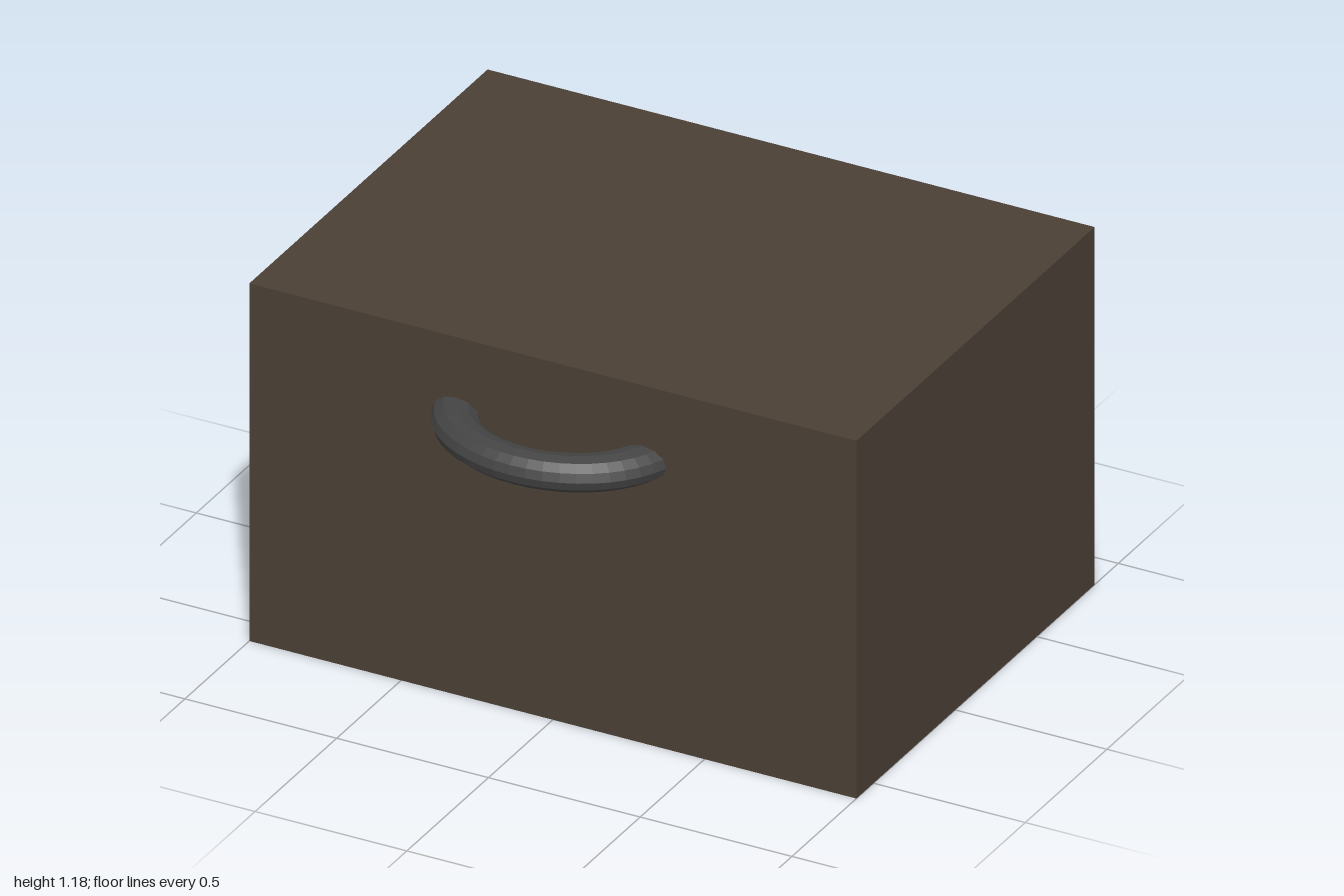
import * as THREE from 'three';

export function createModel() {
  const model = new THREE.Group();

  const addPart = (name, geometry, color, flatShading = false) => {
    const mesh = new THREE.Mesh(geometry, new THREE.MeshStandardMaterial({ color, flatShading }));
    mesh.name = name;
    model.add(mesh);
    return mesh;
  };

  // Plain box body
  const height = 1.185, back = -0.855, front = 0.605;
  const body = addPart('body', new THREE.BoxGeometry(2, height, front - back), 0x4a3f35);
  body.position.set(0, height / 2, (front + back) / 2);

  // Curved pull handle: a flattened half ring whose ends sink into the front face
  const ring = new THREE.TorusGeometry(0.325, 0.075, 12, 24, Math.PI);
  ring.rotateX(Math.PI / 2);
  ring.scale(1, 0.73, 0.845);
  const handle = addPart('handle', ring, 0x444444, true);
  handle.position.set(-0.012, 0.93, 0.516);

  return model;
}
